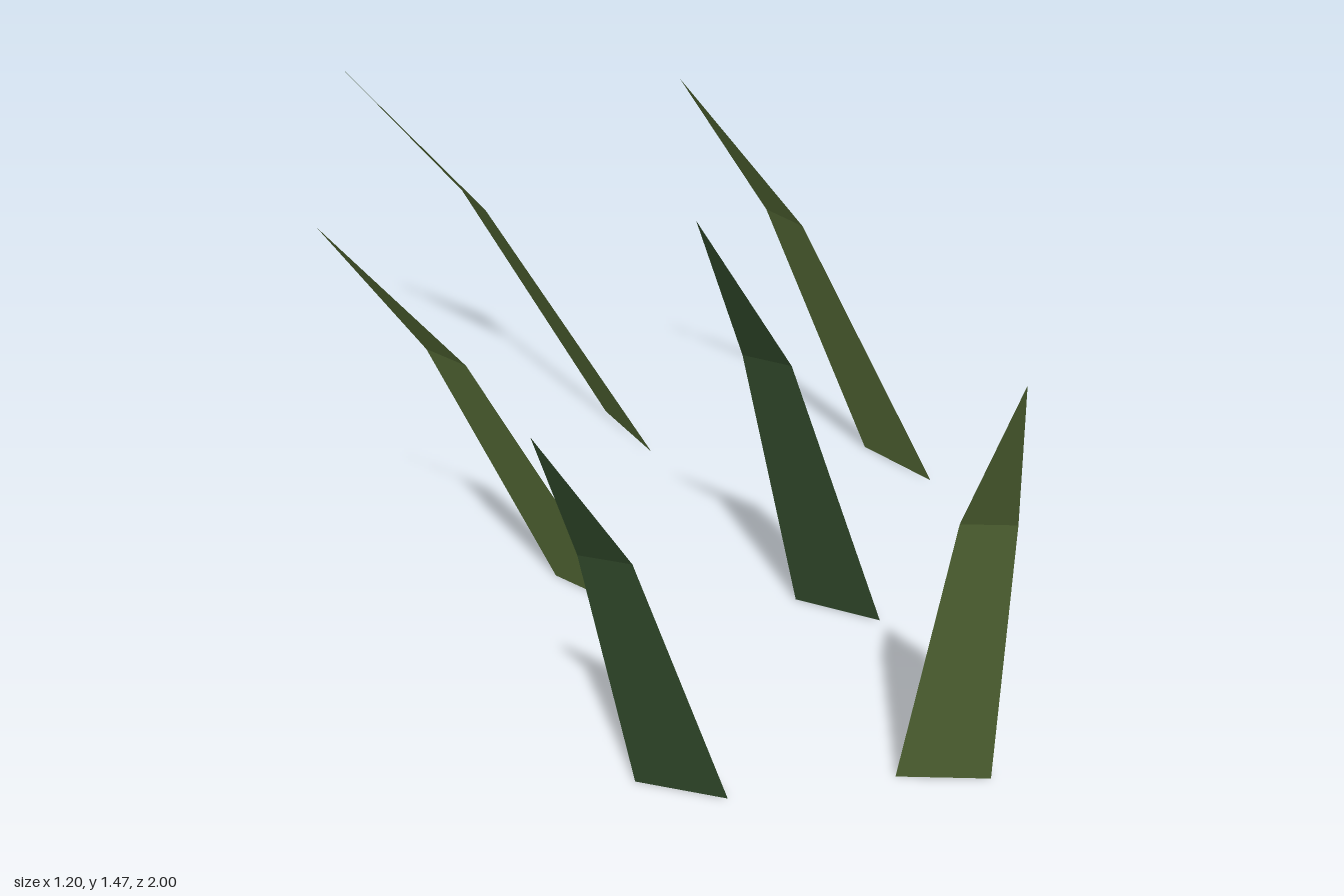
import * as THREE from 'three';

const WIDTH = 0.17;

// A bent blade: base edge, half-width crease, pointed tip
function bladeGeometry(x, z, tipX, tipZ, height) {
  const dx = tipX - x, dz = tipZ - z, reach = Math.hypot(dx, dz);
  const sideX = dz / reach, sideZ = -dx / reach;
  // Point at a fraction of the reach and height, shifted sideways
  const at = (along, up, side) => [
    x + dx * along + sideX * side, height * up, z + dz * along + sideZ * side,
  ];
  const points = [
    at(0, 0, -WIDTH / 2), at(0, 0, WIDTH / 2),
    at(0.575, 0.655, -WIDTH / 4), at(0.575, 0.655, WIDTH / 4),
    at(1, 1, 0),
  ];
  const indexed = new THREE.BufferGeometry();
  indexed.setAttribute('position', new THREE.Float32BufferAttribute(points.flat(), 3));
  indexed.setIndex([0, 1, 3, 0, 3, 2, 2, 3, 4]);
  const geometry = indexed.toNonIndexed();
  geometry.computeVertexNormals();
  return geometry;
}

export function createModel() {
  const group = new THREE.Group();
  group.name = 'grassTuft';

  const lightGreen = new THREE.MeshStandardMaterial({ color: 0x667f42, side: THREE.DoubleSide, flatShading: true });
  lightGreen.name = 'lightGreen';
  const darkGreen = new THREE.MeshStandardMaterial({ color: 0x3d5a35, side: THREE.DoubleSide, flatShading: true });
  darkGreen.name = 'darkGreen';

  // Base x, base z, tip x, tip z, height, material
  const blades = [
    [0.41, 0.19, 0.235, 1.0, 1.47, lightGreen],
    [-0.055, 0.137, -0.37, 0.81, 1.33, darkGreen],
    [0.325, -0.292, -0.065, 0.34, 1.33, darkGreen],
    [-0.13, -0.43, -0.6, 0.04, 1.19, lightGreen],
    [0.545, -0.717, 0.025, -0.305, 1.19, lightGreen],
    [0.023, -0.923, -0.51, -0.68, 1.05, lightGreen],
  ];
  blades.forEach(([x, z, tipX, tipZ, height, material], i) => {
    const blade = new THREE.Mesh(bladeGeometry(x, z, tipX, tipZ, height), material);
    blade.name = `grassBlade${i + 1}`;
    group.add(blade);
  });
  return group;
}
